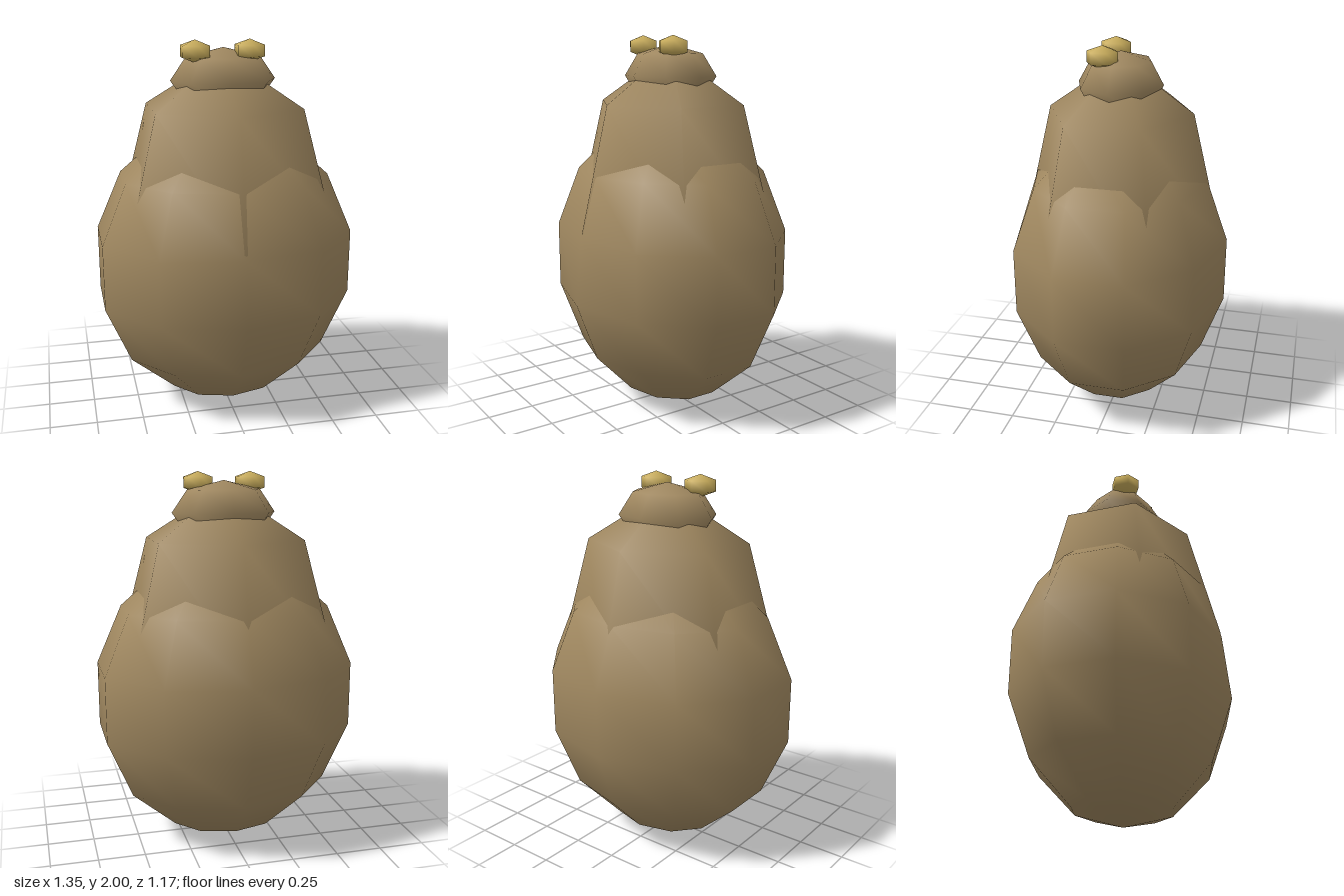
import * as THREE from 'three';

export function createModel() {
  const model = new THREE.Group();
  model.name = 'creature';

  const brown = new THREE.MeshStandardMaterial({ color: 0xa08860 });
  brown.name = 'brown fur';
  const gold = new THREE.MeshStandardMaterial({ color: 0xc9ad5c });
  gold.name = 'gold eye';

  // Coarse smooth ellipsoid with a corner column facing the front
  const blob = (name, material, radii, segments, rings, position) => {
    const geometry = new THREE.SphereGeometry(1, segments, rings, Math.PI / 2);
    geometry.scale(...radii);
    const mesh = new THREE.Mesh(geometry, material);
    mesh.name = name;
    mesh.position.set(...position);
    model.add(mesh);
    return mesh;
  };

  // Round belly, slightly flattened at the front below the chest
  const belly = blob('belly', brown, [0.728, 0.795, 0.6], 10, 7, [0, 0.795, 0]);
  const p = belly.geometry.attributes.position;
  for (let i = 0; i < p.count; i++) {
    const upperFront = p.getY(i) > 0 && p.getY(i) < 0.3 && p.getZ(i) > 0.55;
    if (upperFront) p.setZ(i, 0.55);
  }

  // Chest and shoulders rising out of the belly
  blob('torso', brown, [0.63, 0.92, 0.545], 6, 4, [0, 1.0, 0]);

  // Flat head
  blob('head', brown, [0.28, 0.165, 0.225], 8, 4, [0, 1.79, 0]);

  // Eyes on top of the head
  blob('rightEye', gold, [0.093, 0.058, 0.092], 6, 3, [-0.16, 1.942, 0.065]);
  blob('leftEye', gold, [0.093, 0.058, 0.092], 6, 3, [0.125, 1.942, 0.065]);

  return model;
}
